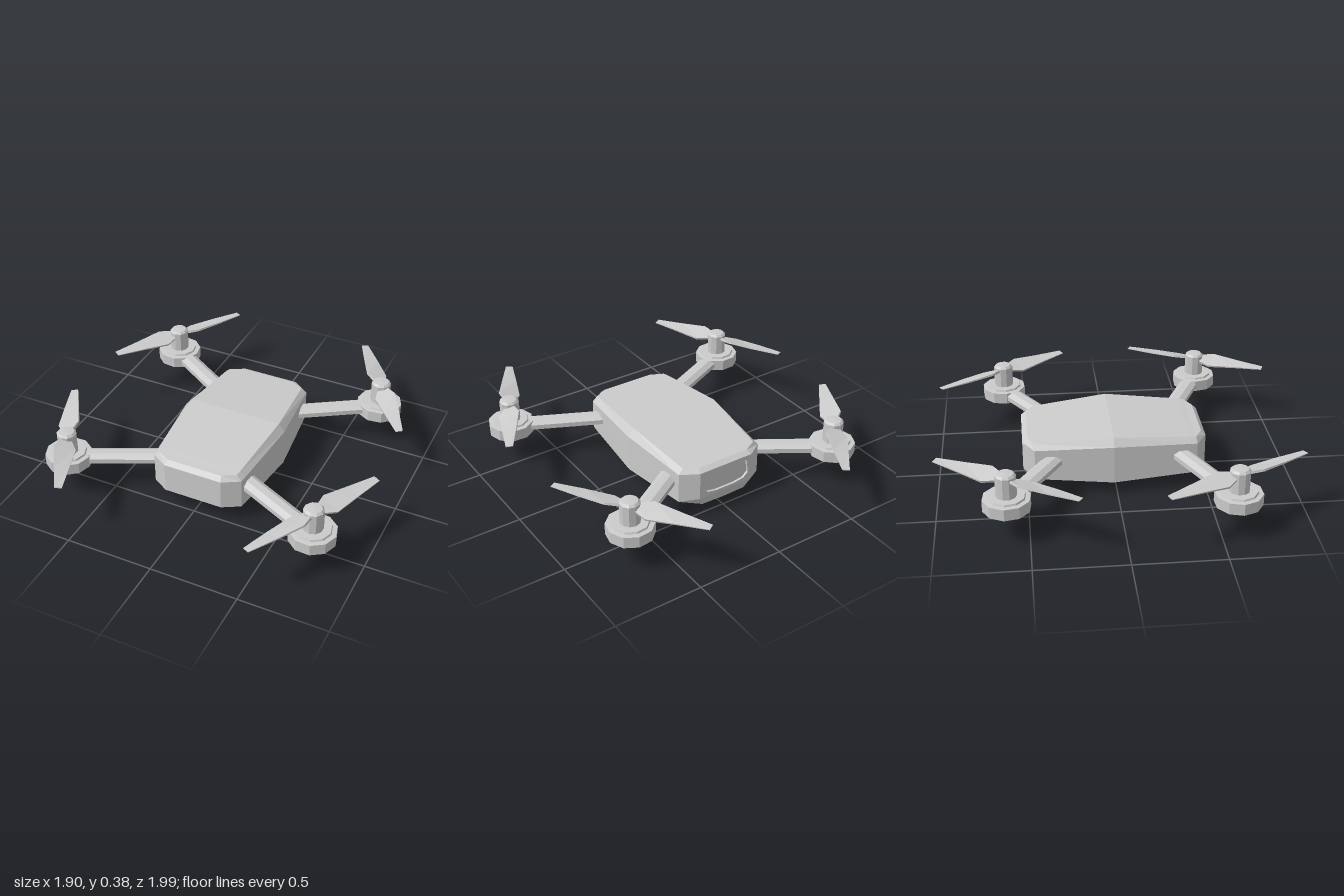
import * as THREE from 'three';

const material = new THREE.MeshStandardMaterial({ color: 0xcccccc, flatShading: true });

function mesh(name, geometry) {
  const m = new THREE.Mesh(geometry, material);
  m.name = name;
  return m;
}

// Skin over rings of points, listed from +z to -z, each clockwise seen from +z
function loft(rings, skipBackBand = -1) {
  const pos = [];
  const tri = (a, b, c) => {
    if (a !== b && b !== c && a !== c) pos.push(...a, ...b, ...c);
  };
  const quad = (a, b, c, d) => { tri(a, b, c); tri(a, c, d); };
  const n = rings[0].length;
  for (let i = 0; i < rings.length - 1; i++) {
    for (let j = 0; j < n; j++) {
      const k = (j + 1) % n;
      quad(rings[i][j], rings[i][k], rings[i + 1][k], rings[i + 1][j]);
    }
  }
  // End caps in horizontal bands
  const f = rings[0], b = rings[rings.length - 1];
  for (let k = 0; k < Math.floor((n - 1) / 2); k++) {
    quad(f[k], f[n - 1 - k], f[n - 2 - k], f[k + 1]);
    if (k !== skipBackBand) quad(b[k], b[k + 1], b[n - 2 - k], b[n - 1 - k]);
  }
  const g = new THREE.BufferGeometry();
  g.setAttribute('position', new THREE.Float32BufferAttribute(pos, 3));
  g.computeVertexNormals();
  return g;
}

function createBody() {
  const body = new THREE.Group();
  body.name = 'body';
  // Half sections: top edge, shoulder, lower side, belly edge, keel
  const halves = [
    [[0.16, 0.3, 0.485], [0.17, 0.275, 0.51], [0.17, 0.1, 0.51], [0.15, 0.092, 0.5], [0, 0.092, 0.5]],
    [[0.235, 0.302, 0.445], [0.265, 0.272, 0.45], [0.265, 0.095, 0.45], [0.16, 0.09, 0.44], [0, 0.09, 0.44]],
    [[0.24, 0.306, 0.41], [0.27, 0.275, 0.41], [0.27, 0.092, 0.41], [0.14, 0.056, 0.41], [0, 0.05, 0.41]],
    [[0.275, 0.34, -0.02], [0.31, 0.295, -0.02], [0.31, 0.075, -0.02], [0.12, 0.011, -0.03], [0, 0, -0.03]],
    [[0.235, 0.3, -0.45], [0.265, 0.272, -0.455], [0.265, 0.095, -0.455], [0.15, 0.052, -0.455], [0, 0.046, -0.455]],
    [[0.16, 0.297, -0.49], [0.17, 0.28, -0.52], [0.17, 0.115, -0.52], [0.14, 0.057, -0.5], [0, 0.053, -0.5]],
  ];
  const rings = halves.map((h) => [
    ...h,
    ...h.slice(0, 4).reverse().map(([x, y, z]) => [-x, y, z]),
  ]);
  body.add(mesh('hull', loft(rings, 1)));

  // Rear bezel around a shallow recessed panel
  const frame = new THREE.Shape([
    [-0.17, 0.115], [0.17, 0.115], [0.17, 0.28], [-0.17, 0.28],
  ].map((p) => new THREE.Vector2(...p)));
  frame.holes.push(new THREE.Path([
    [-0.15, 0.17], [-0.14, 0.25], [-0.12, 0.262], [0.12, 0.262], [0.14, 0.25],
    [0.15, 0.17], [0.12, 0.142], [0.06, 0.132], [-0.06, 0.132], [-0.12, 0.142],
  ].map((p) => new THREE.Vector2(...p))));
  const bezel = mesh('rearBezel', new THREE.ExtrudeGeometry(frame, { depth: 0.02, bevelEnabled: false }));
  bezel.position.z = -0.52;
  const panel = mesh('rearPanel', new THREE.BoxGeometry(0.32, 0.15, 0.01));
  panel.position.set(0, 0.197, -0.502);
  body.add(bezel, panel);
  return body;
}

// Flattened octagonal arm from the hull to a motor
function createArm(from, to) {
  const g = new THREE.CylinderGeometry(1, 1, from.distanceTo(to), 8, 1, false, Math.PI / 8);
  g.rotateX(Math.PI / 2);
  g.scale(0.056, 0.036, 1);
  const arm = mesh('arm', g);
  arm.position.lerpVectors(from, to, 0.5);
  arm.lookAt(to);
  return arm;
}

function lathe(name, profile, sides) {
  return mesh(name, new THREE.LatheGeometry(profile.map((p) => new THREE.Vector2(...p)), sides));
}

// Tapered blade, twisted from root to tip
function bladeGeometry(side) {
  const stations = [
    // distance, half width, half thickness, pitch
    [0.44, 0.02, 0.002, 0.08],
    [0.27, 0.041, 0.004, 0.17],
    [0.112, 0.06, 0.006, 0.28],
    [0.03, 0.025, 0.008, 0.34],
  ];
  return loft(stations.map(([z, w, t, pitch]) => {
    const c = Math.cos(pitch), s = Math.sin(pitch) * side;
    return [[w, t], [w, -t], [-w, -t], [-w, t]].map(([x, y]) => [x * c - y * s, x * s + y * c, z]);
  }));
}

function createRotor(side, x, z, yaw) {
  const rotor = new THREE.Group();
  rotor.name = 'rotor';
  rotor.position.set(x, 0, z);
  const mount = lathe('motorMount', [
    [0, 0.17], [0.13, 0.17], [0.13, 0.235], [0.104, 0.237], [0.1, 0.247], [0, 0.247],
  ], 10);
  mount.rotation.y = Math.atan2(x, z);
  const motor = lathe('motor', [
    [0, 0.24], [0.056, 0.24], [0.056, 0.365], [0.044, 0.377], [0, 0.38],
  ], 10);
  const propeller = new THREE.Group();
  propeller.name = 'propeller';
  propeller.position.y = 0.342;
  propeller.rotation.y = yaw;
  for (const turn of [0, Math.PI]) {
    const blade = mesh('blade', bladeGeometry(side));
    blade.rotation.y = turn;
    propeller.add(blade);
  }
  rotor.add(mount, motor, propeller);
  return rotor;
}

export function createModel() {
  const model = new THREE.Group();
  model.name = 'quadcopter';
  model.add(createBody());

  const corners = [
    { name: 'front', hub: [0.735, 0.59], root: [0.23, 0.35], tip: [0.2, -0.4] },
    { name: 'rear', hub: [0.67, -0.615], root: [0.23, -0.335], tip: [-0.235, -0.37] },
  ];
  for (const { name, hub, root, tip } of corners) {
    for (const side of [1, -1]) {
      const corner = new THREE.Group();
      corner.name = name + (side > 0 ? 'LeftArm' : 'RightArm');
      corner.add(
        createArm(
          new THREE.Vector3(side * root[0], 0.203, root[1]),
          new THREE.Vector3(side * hub[0], 0.203, hub[1]),
        ),
        createRotor(side, side * hub[0], hub[1], Math.atan2(side * tip[0], tip[1])),
      );
      model.add(corner);
    }
  }
  return model;
}
